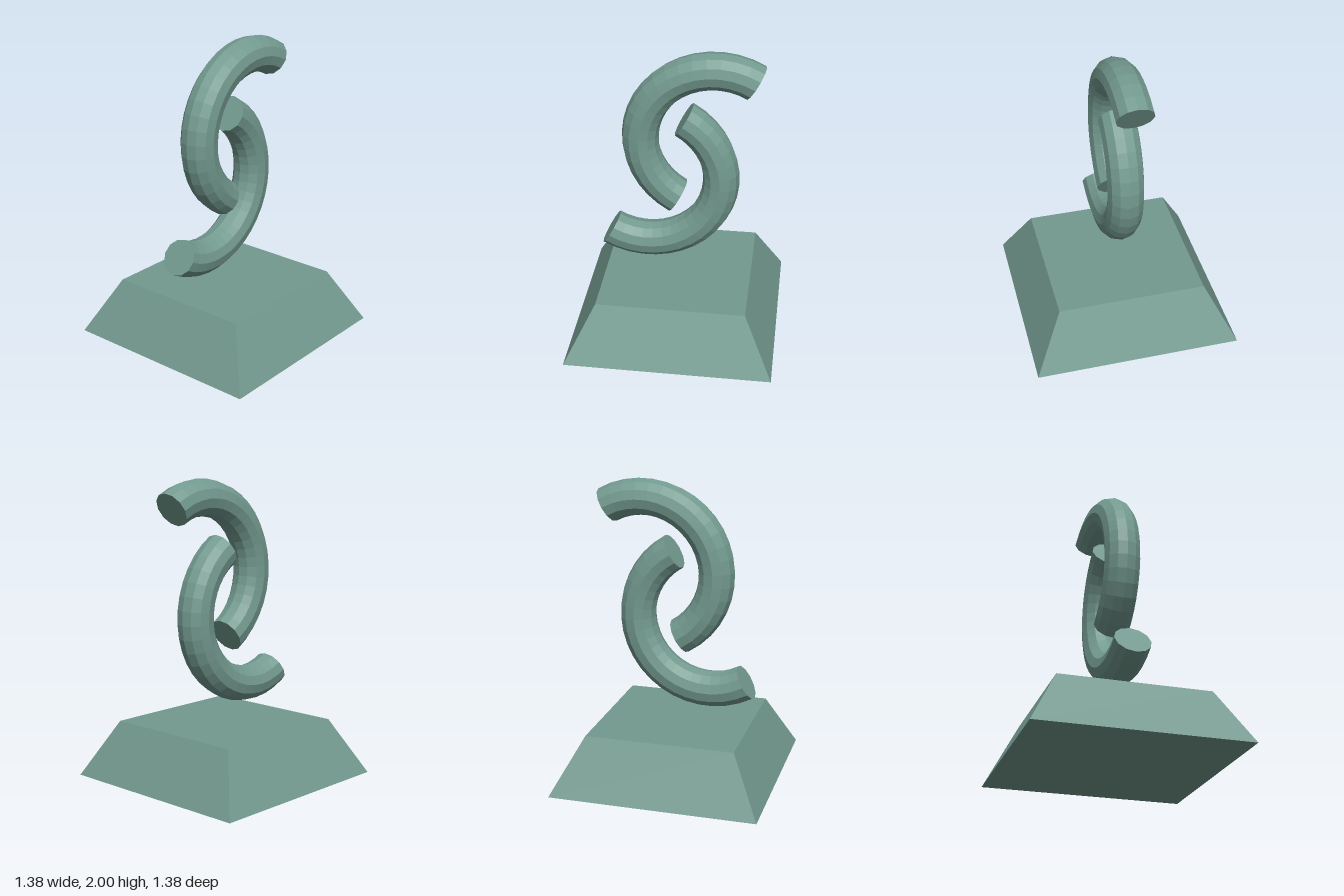
import * as THREE from 'three';

const MAJOR = 0.495;
const TUBE = 0.121;
const SIDES = 12;
const START = Math.PI / 3; // the cut line of both half rings

export function createModel() {
  const group = new THREE.Group();
  const patina = new THREE.MeshStandardMaterial({ color: 0x739a8f, flatShading: true });
  patina.name = 'greenPatina';

  // Half ring with a flat disc closing each cut end
  function halfRing(name, x, y, turn) {
    const ring = new THREE.Group();
    ring.name = name;
    const arc = new THREE.Mesh(new THREE.TorusGeometry(MAJOR, TUBE, SIDES, 20, Math.PI), patina);
    arc.name = name + 'Arc';
    ring.add(arc);
    for (const side of [1, -1]) {
      const cap = new THREE.Mesh(new THREE.CircleGeometry(TUBE, SIDES), patina);
      cap.name = name + 'End';
      cap.rotation.x = Math.PI / 2; // faces -y, away from the arc
      cap.position.x = side * MAJOR;
      ring.add(cap);
    }
    ring.rotation.z = turn;
    ring.position.set(x, y, -0.006);
    group.add(ring);
  }
  halfRing('upperHook', 0.24, 1.385, START);
  halfRing('lowerHook', -0.215, 1.1, START + Math.PI);

  // Tapered square plinth
  const plinthShape = new THREE.CylinderGeometry(0.497 * Math.SQRT2, 0.692 * Math.SQRT2, 0.375, 4);
  plinthShape.rotateY(Math.PI / 4);
  const plinth = new THREE.Mesh(plinthShape, patina);
  plinth.name = 'plinth';
  plinth.position.y = 0.1875;
  group.add(plinth);

  return group;
}
